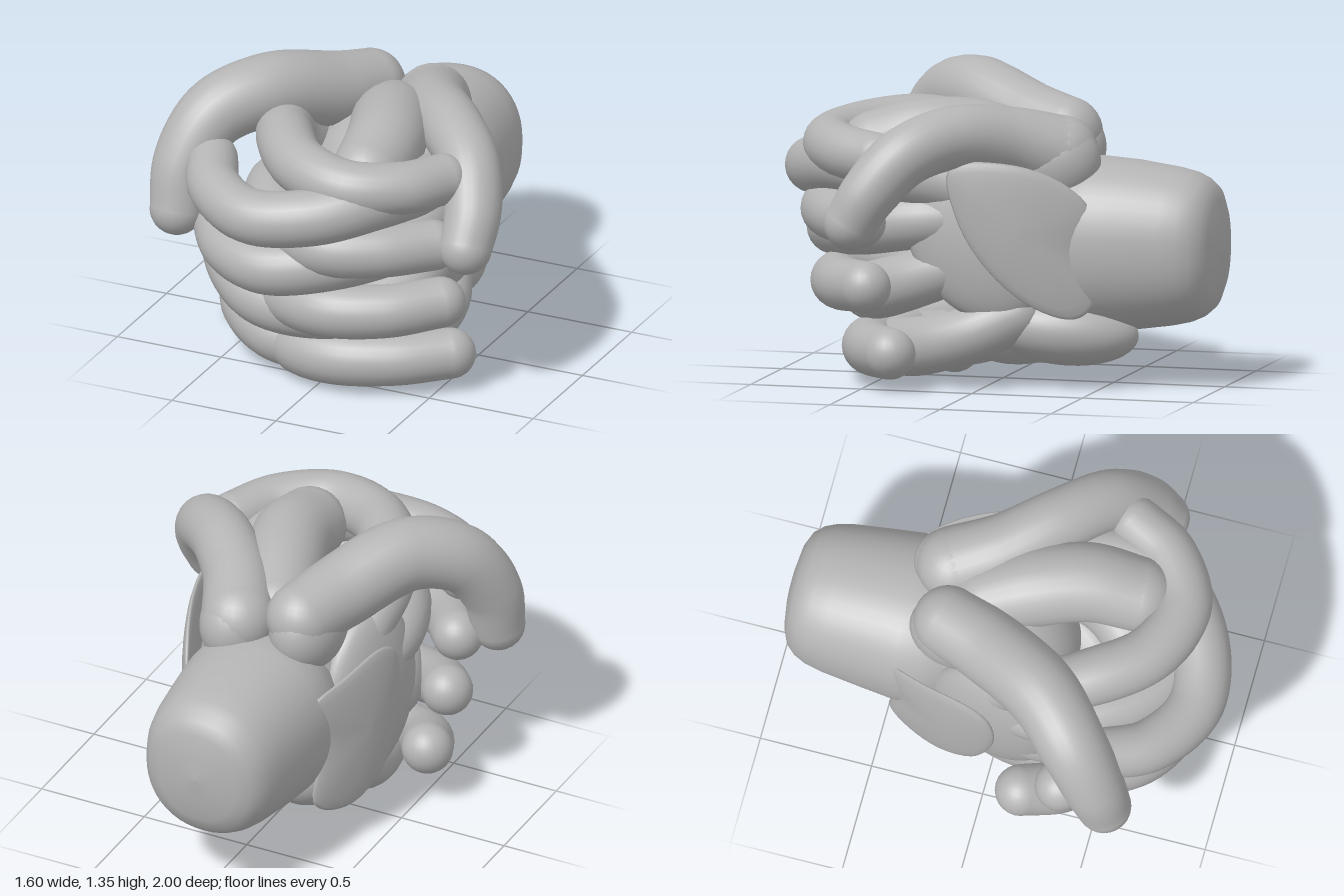
import * as THREE from 'three';
import { mergeGeometries } from 'three/addons/utils/BufferGeometryUtils.js';

const clay = new THREE.MeshStandardMaterial({ color: 0xb4b4b4 });
clay.name = 'clay grey';

const add = (group, name, geometry) => {
  const mesh = new THREE.Mesh(geometry, clay);
  mesh.name = name;
  group.add(mesh);
  return mesh;
};

// Round-ended digit: a smooth path swept with a changing radius. Points are [x, y, z].
function digit(points, radii) {
  const curve = new THREE.CatmullRomCurve3(points.map((p) => new THREE.Vector3(...p)));
  const segs = 48, sides = 24;
  const radiusAt = (t) => {
    const f = t * (radii.length - 1), i = Math.min(Math.floor(f), radii.length - 2);
    return THREE.MathUtils.lerp(radii[i], radii[i + 1], f - i);
  };
  const tube = new THREE.TubeGeometry(curve, segs, 1, sides);
  const pos = tube.attributes.position, v = new THREE.Vector3();
  for (let i = 0; i <= segs; i++) {
    const c = curve.getPointAt(i / segs);
    for (let j = 0; j <= sides; j++) {
      const k = i * (sides + 1) + j;
      v.fromBufferAttribute(pos, k).sub(c).multiplyScalar(radiusAt(i / segs)).add(c);
      pos.setXYZ(k, v.x, v.y, v.z);
    }
  }
  const caps = [0, 1].map((t) => {
    const c = curve.getPointAt(t);
    return new THREE.SphereGeometry(radiusAt(t), sides, 16).translate(c.x, c.y, c.z);
  });
  return mergeGeometries([tube, ...caps]);
}

// Ellipsoid mass
function lobe(group, name, centre, size, rotation = [0, 0, 0]) {
  const mesh = add(group, name, new THREE.SphereGeometry(1, 40, 28));
  mesh.position.set(...centre);
  mesh.scale.set(...size);
  mesh.rotation.set(...rotation);
}

// Closed surface through rings of points, each ring anticlockwise as seen from the last one's end
function loft(rings) {
  const n = rings[0].length, index = [];
  for (let i = 0; i < rings.length - 1; i++)
    for (let j = 0; j < n; j++) {
      const a = i * n + j, b = i * n + (j + 1) % n;
      index.push(a, b, a + n, b, b + n, a + n);
    }
  const g = new THREE.BufferGeometry();
  g.setAttribute('position', new THREE.Float32BufferAttribute(rings.flat(2), 3));
  g.setIndex(index);
  g.computeVertexNormals();
  return g;
}

// Joined wrist stump: [z, half width, half height]
function wristGeometry() {
  const sections = [[-1, 0.001, 0.001], [-0.99, 0.1, 0.11], [-0.975, 0.19, 0.21], [-0.95, 0.245, 0.27],
    [-0.91, 0.28, 0.305], [-0.86, 0.302, 0.327], [-0.78, 0.32, 0.345], [-0.6, 0.342, 0.37], [-0.45, 0.36, 0.38],
    [-0.35, 0.36, 0.38], [-0.2, 0.31, 0.34], [-0.1, 0.2, 0.22], [-0.05, 0.001, 0.001]];
  const round = (c) => Math.sign(c) * Math.abs(c) ** 0.9;
  return loft(sections.map(([z, w, h]) => Array.from({ length: 48 }, (_, j) => {
    const a = (j / 48) * Math.PI * 2;
    return [w * round(Math.cos(a)), 0.61 + h * round(Math.sin(a)), z];
  })));
}

// Domed leaf-shaped pad on the back of a hand; outline is [z, y] about a middle height, side is +1 or -1
function padGeometry(side, midY, outline) {
  const curve = new THREE.CatmullRomCurve3(outline.map(([z, y]) => new THREE.Vector3(0, y, z)), true);
  const pts = curve.getPoints(48).slice(0, 48);
  if (side > 0) pts.reverse();
  const rings = [];
  for (let i = 0; i <= 12; i++) {
    const a = -Math.PI / 2 + (i / 12) * Math.PI;
    const s = Math.max(Math.cos(a), 0.001);
    rings.push(pts.map((p) => {
      const z = -0.19 + (p.z + 0.19) * s, y = midY + (p.y - midY) * s;
      const x = 0.42 + 0.3 * (z + 0.19) - 0.35 * (z + 0.19) ** 2 + 0.035 * Math.sin(a);
      return [side * x, y, z];
    }));
  }
  return loft(rings);
}

export function createModel() {
  const model = new THREE.Group();
  model.name = 'claspedHands';

  add(model, 'wrist', wristGeometry());

  // Left palm tips forward, right palm stays upright and lower
  lobe(model, 'leftPalm', [0.33, 0.68, 0.02], [0.12, 0.41, 0.3], [0.5, 0.22, 0]);
  lobe(model, 'rightPalm', [-0.33, 0.6, 0], [0.12, 0.41, 0.3], [0.1, -0.22, 0]);
  add(model, 'leftBackPad', padGeometry(1, 0.69, [[0.11, 0.98], [-0.16, 1.0], [-0.38, 0.91], [-0.48, 0.79],
    [-0.44, 0.6], [-0.49, 0.38], [-0.42, 0.32], [-0.27, 0.36], [-0.08, 0.51], [0.07, 0.74]]));
  add(model, 'rightBackPad', padGeometry(-1, 0.56, [[0, 0.86], [-0.1, 0.91], [-0.3, 0.86], [-0.49, 0.77],
    [-0.43, 0.55], [-0.47, 0.29], [-0.4, 0.22], [-0.24, 0.2], [-0.06, 0.32], [0.03, 0.55], [0.04, 0.74]]));

  // Heels, thumb roots and the mass between the palms
  lobe(model, 'leftHeel', [0.17, 0.25, -0.32], [0.19, 0.155, 0.33], [-0.1, 0.2, 0]);
  lobe(model, 'rightHeel', [-0.17, 0.27, -0.14], [0.17, 0.17, 0.28], [0.1, -0.15, 0]);
  lobe(model, 'leftThumbRoot', [0.15, 0.98, -0.26], [0.17, 0.2, 0.22], [0.2, 0, 0]);
  lobe(model, 'rightThumbRoot', [-0.15, 1.0, -0.2], [0.16, 0.2, 0.22], [0.2, 0, 0]);
  lobe(model, 'palmCore', [0, 0.66, -0.08], [0.33, 0.42, 0.38]);
  lobe(model, 'palmUnderside', [-0.03, 0.26, -0.05], [0.24, 0.2, 0.3]);

  // Fingers of the left hand, tips on the -x side, from top to bottom
  const leftFingers = [
    [[-0.525, 0.96, 0.54], [-0.42, 0.92, 0.73], [-0.18, 0.89, 0.872], [0.1, 0.92, 0.82],
      [0.32, 0.97, 0.63], [0.39, 0.94, 0.38], [0.33, 0.88, 0.1]],
    [[-0.52, 0.67, 0.5], [-0.37, 0.63, 0.69], [-0.15, 0.62, 0.785], [0.12, 0.66, 0.7],
      [0.32, 0.7, 0.48], [0.36, 0.73, 0.26], [0.31, 0.74, 0.06]],
    [[-0.54, 0.47, 0.36], [-0.44, 0.42, 0.48], [-0.3, 0.37, 0.57], [-0.12, 0.36, 0.61], [0.12, 0.38, 0.56],
      [0.3, 0.44, 0.38], [0.34, 0.51, 0.18], [0.3, 0.57, 0]],
    [[-0.535, 0.27, 0.18], [-0.44, 0.2, 0.35], [-0.28, 0.15, 0.45], [-0.1, 0.14, 0.47], [0.12, 0.14, 0.42],
      [0.3, 0.18, 0.24], [0.34, 0.24, 0.04], [0.28, 0.32, -0.14]],
  ];
  // Fingers of the right hand, tips on the +x side, from top to bottom
  const rightFingers = [
    [[0.53, 1.02, 0.42], [0.42, 1.03, 0.6], [0.2, 1.04, 0.72], [-0.05, 1.06, 0.64], [-0.23, 1.07, 0.42],
      [-0.32, 1.02, 0.2], [-0.3, 0.9, 0.05]],
    [[0.515, 0.735, 0.5], [0.33, 0.74, 0.67], [0.1, 0.745, 0.75], [-0.13, 0.76, 0.64], [-0.3, 0.78, 0.4],
      [-0.35, 0.76, 0.2], [-0.31, 0.72, 0.05]],
    [[0.54, 0.455, 0.47], [0.35, 0.44, 0.63], [0.1, 0.43, 0.7], [-0.13, 0.42, 0.6], [-0.29, 0.45, 0.36],
      [-0.34, 0.49, 0.18], [-0.31, 0.53, 0.02]],
    [[0.535, 0.165, 0.36], [0.33, 0.155, 0.5], [0.08, 0.145, 0.565], [-0.12, 0.135, 0.5], [-0.23, 0.13, 0.3],
      [-0.27, 0.17, 0.1], [-0.26, 0.28, -0.08]],
  ];
  const names = ['IndexFinger', 'MiddleFinger', 'RingFinger', 'LittleFinger'];
  leftFingers.forEach((p, i) => add(model, 'left' + names[i], digit(p, [0.113, 0.123, 0.13, 0.115])));
  rightFingers.forEach((p, i) => add(model, 'right' + names[i], digit(p, [0.112, 0.122, 0.128, 0.115])));

  // Edge of the left palm folding under the clasp
  add(model, 'leftPalmEdge', digit(
    [[0.32, 0.4, -0.05], [0.22, 0.27, 0.08], [0.08, 0.16, 0.19], [-0.18, 0.08, 0.3]], [0.08, 0.12, 0.12, 0.07]));

  // Thumbs arching over the top and hanging down at the sides
  add(model, 'rightThumb', digit(
    [[-0.14, 1.07, -0.25], [-0.22, 1.11, -0.06], [-0.4, 1.19, 0.24], [-0.57, 1.12, 0.42], [-0.66, 0.92, 0.54],
      [-0.67, 0.72, 0.59]], [0.155, 0.165, 0.165, 0.155, 0.14, 0.12]));
  add(model, 'leftThumb', digit(
    [[0.14, 1.02, -0.3], [0.25, 1.08, -0.1], [0.42, 1.11, 0.1], [0.59, 1.04, 0.28], [0.67, 0.88, 0.42],
      [0.675, 0.75, 0.5]], [0.165, 0.15, 0.14, 0.135, 0.13, 0.115]));

  // Fleshy fold tucked between the thumbs
  add(model, 'innerFold', digit(
    [[0.04, 1.0, -0.12], [0.12, 1.06, 0.08], [0.19, 1.07, 0.3], [0.21, 1.02, 0.51]], [0.16, 0.18, 0.175, 0.165]));

  return model;
}
